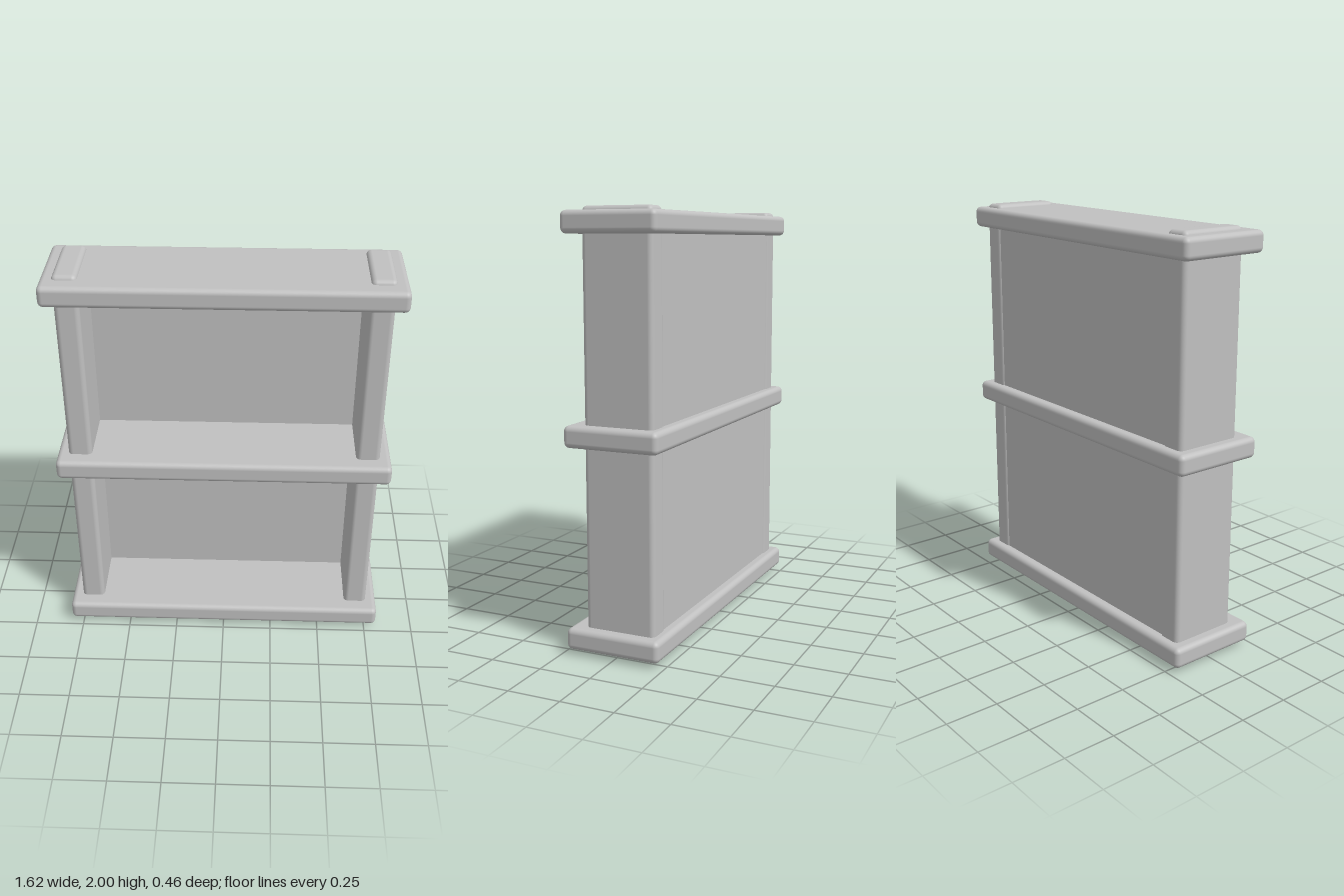
import * as THREE from 'three';
import { RoundedBoxGeometry } from 'three/addons/geometries/RoundedBoxGeometry.js';

export function createModel() {
  const group = new THREE.Group();
  group.name = 'shelfUnit';
  const gray = new THREE.MeshStandardMaterial({ color: 0xc0c0c0 });
  gray.name = 'light gray';

  const add = (name, geometry, x, y, z) => {
    const mesh = new THREE.Mesh(geometry, gray);
    mesh.name = name;
    mesh.position.set(x, y, z);
    group.add(mesh);
  };

  // Three rounded boards
  const board = new RoundedBoxGeometry(1.62, 0.1, 0.46, 4, 0.025);
  [['bottomShelf', 0.073], ['middleShelf', 1.002], ['topShelf', 1.932]]
    .forEach(([name, y]) => add(name, board, 0, y, 0));

  // Uprights, which poke slightly through the top and bottom boards
  const upright = new RoundedBoxGeometry(0.115, 2, 0.34, 4, 0.024);
  add('leftUpright', upright, 0.698, 1, -0.017);
  add('rightUpright', upright, -0.698, 1, -0.017);

  // Thin back panel set between the uprights
  add('backPanel', new THREE.BoxGeometry(1.34, 1.86, 0.03), 0, 1, -0.165);

  return group;
}
